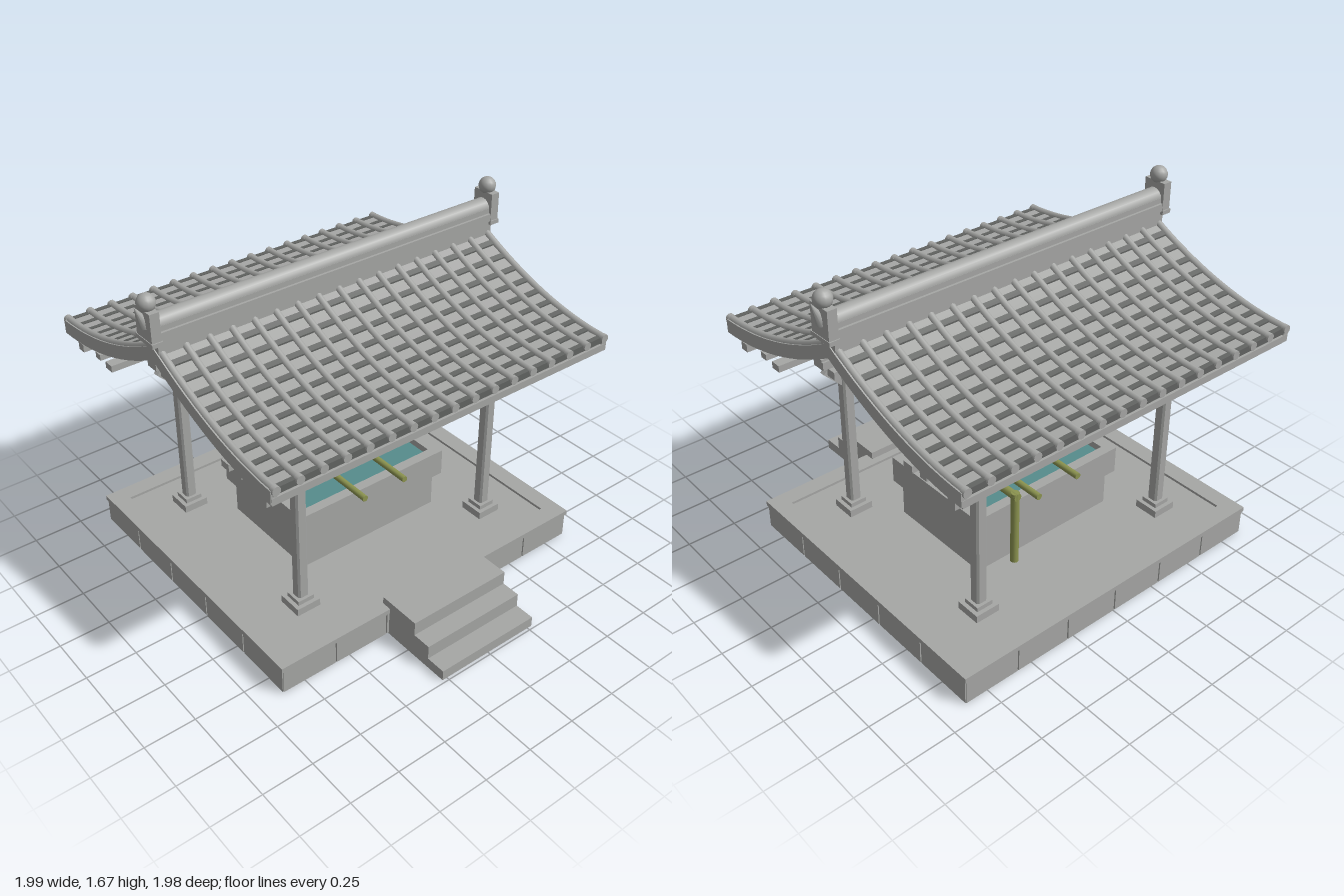
import * as THREE from 'three';

const mat = (name, color) => {
  const m = new THREE.MeshStandardMaterial({ color });
  m.name = name;
  return m;
};

export function createModel() {
  const stone = mat('stone grey', 0xa6a7a5);
  const shade = mat('tile joint grey', 0x626462);
  const bamboo = mat('bamboo olive', 0x8c9450);
  const water = mat('water teal', 0x568c8c);

  const root = new THREE.Group();
  root.name = 'waterPavilion';
  const CZ = -0.15; // centre of the building, the steps reach further forward

  const add = (parent, name, geo, material = stone) => {
    const mesh = new THREE.Mesh(geo, material);
    mesh.name = name;
    parent.add(mesh);
    return mesh;
  };
  // Box given by its limits
  const box = (parent, name, x0, x1, y0, y1, z0, z1, material) => {
    const g = new THREE.BoxGeometry(x1 - x0, y1 - y0, z1 - z0);
    g.translate((x0 + x1) / 2, (y0 + y1) / 2, (z0 + z1) / 2);
    return add(parent, name, g, material);
  };
  // Round or square bar between two points
  const bar = (parent, name, a, b, r, sides, material) => {
    const p = new THREE.Vector3(...a), q = new THREE.Vector3(...b);
    const g = new THREE.CylinderGeometry(r, r, p.distanceTo(q), sides);
    if (sides === 4) g.rotateY(Math.PI / 4);
    const mesh = add(parent, name, sides === 4 ? g.toNonIndexed() : g, material);
    if (sides === 4) mesh.geometry.computeVertexNormals();
    mesh.position.copy(p).lerp(q, 0.5);
    mesh.quaternion.setFromUnitVectors(new THREE.Vector3(0, 1, 0), q.sub(p).normalize());
    return mesh;
  };
  // Side profile of (z, y) points swept along x between x0 and x1
  const sweep = (parent, name, pts, x0, x1, material) => {
    const shape = new THREE.Shape(pts.map(p => new THREE.Vector2(...p)));
    const g = new THREE.ExtrudeGeometry(shape, { depth: x1 - x0, bevelEnabled: false });
    g.rotateY(-Math.PI / 2).translate(x1, 0, 0);
    return add(parent, name, g, material);
  };

  // Platform with facing blocks, rim and recessed floor
  const base = new THREE.Group();
  base.name = 'platform';
  base.position.z = CZ;
  root.add(base);
  const BX = 0.872, BZ = 0.765;
  box(base, 'platformCore', -BX + 0.008, BX - 0.008, 0, 0.142, -BZ + 0.008, BZ - 0.008);
  for (const s of [-1, 1]) {
    for (let i = 0; i < 6; i++) {
      const w = 2 * BX / 6, x = -BX + i * w;
      box(base, 'frontFacingBlock', x + 0.004, x + w - 0.004, 0.008, 0.13, s * (BZ - 0.01) - 0.01, s * (BZ - 0.01) + 0.01);
    }
    for (let i = 0; i < 5; i++) {
      const w = 2 * BZ / 5, z = -BZ + i * w;
      box(base, 'sideFacingBlock', s * (BX - 0.01) - 0.01, s * (BX - 0.01) + 0.01, 0.008, 0.13, z + 0.004, z + w - 0.004);
    }
    box(base, 'frontRim', -0.877, 0.877, 0.131, 0.155, s * 0.725 - 0.045, s * 0.725 + 0.045);
    box(base, 'sideRim', s * 0.832 - 0.045, s * 0.832 + 0.045, 0.131, 0.155, -0.68, 0.68);
  }

  // Entrance steps
  sweep(root, 'steps', [[0.57, 0], [0.985, 0], [0.985, 0.053], [0.885, 0.053],
    [0.885, 0.123], [0.79, 0.123], [0.79, 0.193], [0.57, 0.193]], -0.275, 0.275);

  // Basin: plinth, hollow trough and water
  const basin = new THREE.Group();
  basin.name = 'basin';
  basin.position.z = CZ;
  root.add(basin);
  box(basin, 'basinPlinth', -0.4, 0.4, 0.142, 0.33, -0.282, 0.282);
  box(basin, 'basinFloor', -0.432, 0.432, 0.33, 0.36, -0.313, 0.313);
  for (const s of [-1, 1]) {
    box(basin, 'basinLongWall', -0.432, 0.432, 0.36, 0.467, s * 0.288 - 0.025, s * 0.288 + 0.025);
    box(basin, 'basinShortWall', s * 0.407 - 0.025, s * 0.407 + 0.025, 0.36, 0.467, -0.263, 0.263);
  }
  box(basin, 'waterSurface', -0.382, 0.382, 0.425, 0.433, -0.263, 0.263, water);

  // Bamboo rests, ladles and spout
  for (const x of [-0.12, 0.12])
    bar(root, 'ladleRest', [x, 0.483, 0.245], [x, 0.483, -0.525], 0.016, 10, bamboo);
  const cup = [[0, 0.505], [0.042, 0.505], [0.042, 0.557], [0.036, 0.557], [0.036, 0.512], [0, 0.512]]
    .map(p => new THREE.Vector2(...p));
  for (const x of [-0.152, -0.012, 0.128]) {
    add(root, 'ladleCup', new THREE.LatheGeometry(cup, 20).toNonIndexed(), bamboo).position.set(x, 0, -0.29);
    bar(root, 'ladleHandle', [x, 0.512, 0.01], [x, 0.512, -0.25], 0.009, 8, bamboo);
  }
  bar(root, 'spoutUpright', [0.285, 0.22, -0.547], [0.285, 0.603, -0.547], 0.02, 12, bamboo);
  bar(root, 'spoutArm', [0.285, 0.585, -0.565], [0.285, 0.585, -0.22], 0.02, 12, bamboo);

  // Height of the roof surface at distance d from the ridge line
  const roofY = d => 1.17 + 0.25 * Math.pow(Math.max(0, 0.85 - d) / 0.85, 1.9);
  const curvedStrip = (parent, name, x0, x1, d0, d1, up, down, material) => {
    const top = [], low = [], n = 14;
    for (let i = 0; i <= n; i++) {
      const d = d0 + (d1 - d0) * i / n;
      top.push([d, roofY(d) + up]);
      low.unshift([d, roofY(d) - down]);
    }
    return sweep(parent, name, [...low, ...top.slice()], x0, x1, material);
  };

  // One half of posts, brackets and roof; z is distance from the ridge line
  const buildHalf = () => {
    const half = new THREE.Group();
    half.name = 'pavilionHalf';
    const P = 0.475;
    for (const s of [-1, 1]) {
      const post = new THREE.Group();
      post.name = 'postAndBrackets';
      post.position.set(s * 0.56, 0, P);
      half.add(post);
      const c = 0.019, h = 0.028;
      const oct = new THREE.Shape([[h, -c], [h, c], [c, h], [-c, h], [-h, c], [-h, -c], [-c, -h], [c, -h]]
        .map(p => new THREE.Vector2(...p)));
      const g = new THREE.ExtrudeGeometry(oct, { depth: 0.86, bevelEnabled: false });
      add(post, 'post', g.rotateX(-Math.PI / 2).translate(0, 0.15, 0));
      box(post, 'postFoot', -0.063, 0.063, 0.142, 0.18, -0.063, 0.063);
      box(post, 'postCollar', -0.043, 0.043, 0.18, 0.202, -0.043, 0.043);
      // Stacked bracket arms
      box(post, 'lowerArm', -0.1, 0.1, 0.945, 0.985, -0.07, 0.03);
      box(post, 'middleArm', -0.13, 0.13, 0.987, 1.028, -0.03, 0.045);
      box(post, 'outwardArm', -0.03, 0.03, 0.99, 1.03, -0.055, 0.11);
      box(post, 'topArm', -0.045, 0.045, 1.03, 1.067, -0.055, 0.155);
      for (const t of [-1, 1])
        bar(post, 'bracketStrut', [t * 0.02, 0.875, 0], [t * 0.11, 0.965, 0], 0.021, 4);
      bar(post, 'outwardStrut', [0, 0.88, -0.01], [0, 1.0, 0.085], 0.02, 4);
      bar(post, 'longBrace', [-s * 0.015, 0.8, 0], [-s * 0.27, 1.02, 0], 0.022, 4);
    }
    // Long beams and purlins
    box(half, 'tieBeam', -0.69, 0.69, 1.01, 1.04, P - 0.02, P + 0.02);
    box(half, 'plateBeam', -0.91, 0.91, 1.067, 1.1, P - 0.027, P + 0.027);
    box(half, 'innerPurlin', -0.91, 0.91, 1.08, 1.11, 0.55, 0.592);
    box(half, 'outerPurlin', -0.91, 0.91, 1.045, 1.085, 0.717, 0.762);

    // Roof deck, gable boards, eave board and rafters
    curvedStrip(half, 'roofDeck', -0.92, 0.92, 0, 0.82, 0, 0.035);
    for (const s of [-1, 1])
      curvedStrip(half, 'gableBoard', s * 0.92 - 0.015, s * 0.92 + 0.015, 0, 0.83, 0.008, 0.06);
    box(half, 'eaveBoard', -0.93, 0.93, 1.105, 1.14, 0.805, 0.832);
    for (let i = 0; i < 16; i++) {
      const x = -0.855 + i * 0.114;
      curvedStrip(half, 'rafter', x - 0.013, x + 0.013, 0.45, 0.81, -0.03, 0.058);
    }

    // Overlapping tile courses with a lip at each lower edge
    for (let i = 0; i < 10; i++) {
      const a = 0.03 + i * 0.08, b = a + 0.08, lip = b - 0.024;
      sweep(half, 'tileCourse', [[a, roofY(a) - 0.02], [lip, roofY(lip) - 0.02],
        [lip, roofY(lip) + 0.007], [a, roofY(a) + 0.003]], -0.925, 0.925);
      sweep(half, 'tileLip', [[lip, roofY(lip) - 0.02], [b, roofY(b) - 0.02],
        [b, roofY(b) + 0.011], [lip, roofY(lip) + 0.011]], -0.925, 0.925, shade);
    }
    // Round cover tiles with end discs
    const path = new THREE.CatmullRomCurve3([0.02, 0.15, 0.3, 0.45, 0.6, 0.72, 0.835]
      .map(d => new THREE.Vector3(0, roofY(d) + 0.006, d)));
    const roll = new THREE.TubeGeometry(path, 18, 0.017, 8);
    const disc = new THREE.CylinderGeometry(0.021, 0.021, 0.022, 12).rotateX(Math.PI / 2);
    for (let i = 0; i < 17; i++) {
      const x = -0.912 + i * 0.114;
      add(half, 'coverTile', roll).position.x = x;
      add(half, 'coverTileEnd', disc).position.set(x, roofY(0.83) + 0.003, 0.829);
    }
    return half;
  };
  for (const turn of [0, Math.PI]) {
    const half = buildHalf();
    half.position.z = CZ;
    half.rotation.y = turn;
    root.add(half);
  }

  // Ridge: stacked courses with a rounded top
  const ridge = new THREE.Group();
  ridge.name = 'ridge';
  ridge.position.z = CZ;
  root.add(ridge);
  box(ridge, 'ridgeBase', -0.93, 0.93, 1.39, 1.465, -0.05, 0.05);
  box(ridge, 'ridgeLowerCourse', -0.92, 0.92, 1.465, 1.505, -0.058, 0.058);
  box(ridge, 'ridgeUpperCourse', -0.92, 0.92, 1.505, 1.53, -0.046, 0.046);
  bar(ridge, 'ridgeRoll', [-0.925, 1.525, 0], [0.925, 1.525, 0], 0.046, 16);

  // Ridge end ornaments
  for (const s of [-1, 1]) {
    const end = new THREE.Group();
    end.name = 'ridgeEnd';
    end.position.x = s * 0.938;
    ridge.add(end);
    box(end, 'endFoot', -0.026, 0.026, 1.45, 1.47, -0.066, 0.066);
    box(end, 'endBlock', -0.023, 0.023, 1.465, 1.605, -0.06, 0.06);
    add(end, 'endKnob', new THREE.SphereGeometry(0.042, 14, 10)).position.set(0, 1.63, 0);
    const horn = add(end, 'endHorn', new THREE.ConeGeometry(0.03, 0.11, 10));
    horn.position.set(s * 0.033, 1.58, 0);
    horn.rotation.z = -s * 0.45;
  }
  return root;
}
